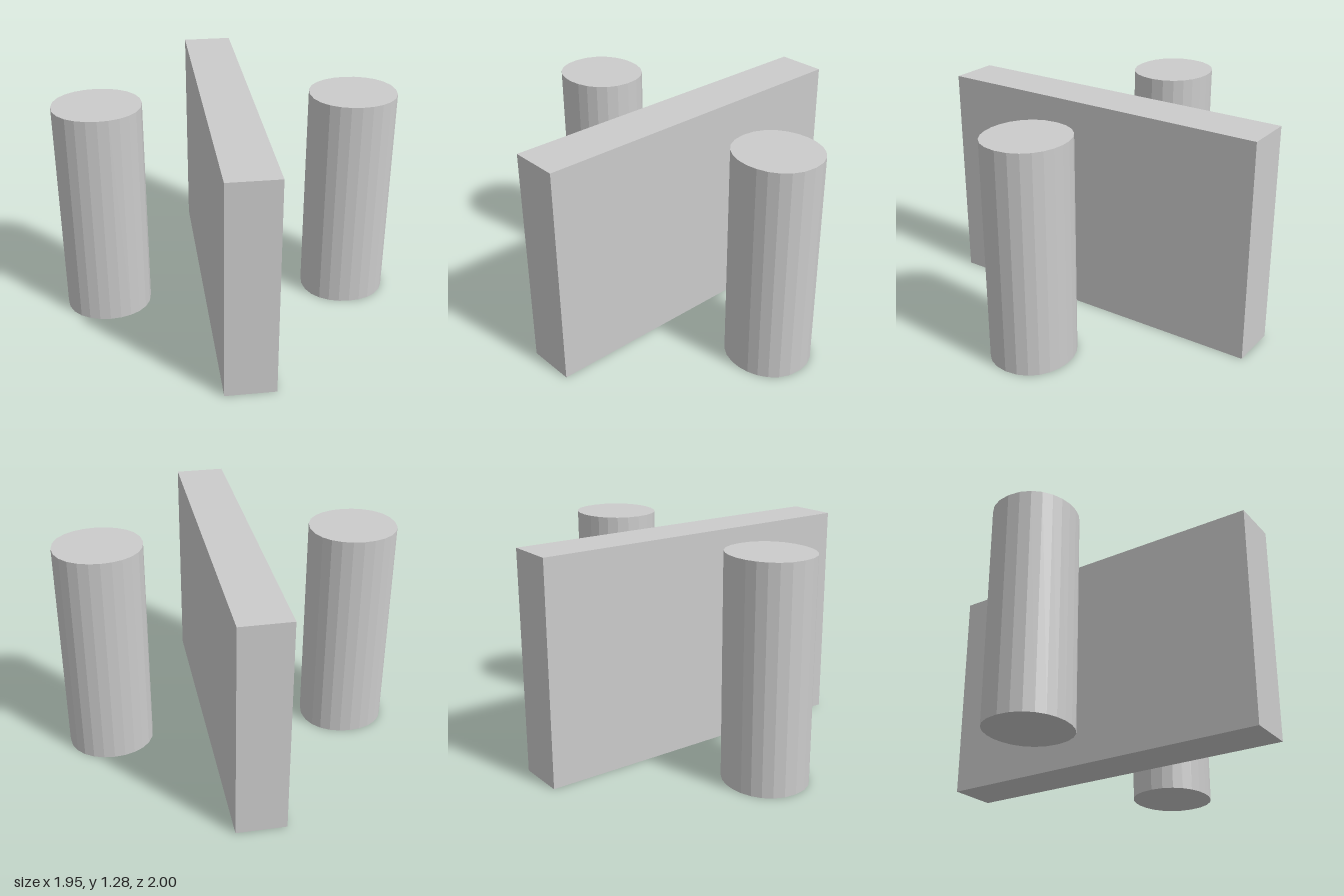
import * as THREE from 'three';

const HEIGHT = 1.28;

// Rounded-oval cross-section made of two mirrored Bezier arcs
function columnShape(halfWidth, halfDepth) {
  const pull = halfDepth / 0.75; // a cubic arc reaches 3/4 of its handle height
  const shape = new THREE.Shape();
  shape.moveTo(halfWidth, 0);
  shape.bezierCurveTo(halfWidth, pull, -halfWidth, pull, -halfWidth, 0);
  shape.bezierCurveTo(-halfWidth, -pull, halfWidth, -pull, halfWidth, 0);
  return shape;
}

export function createModel() {
  const model = new THREE.Group();
  const material = new THREE.MeshStandardMaterial({ color: 0xcccccc, flatShading: true });

  // Central upright slab, running front to back
  const slab = new THREE.Mesh(new THREE.BoxGeometry(0.286, HEIGHT, 2), material);
  slab.name = 'centralSlab';
  slab.position.y = HEIGHT / 2;
  model.add(slab);

  // One oval column on each side of the slab
  const columnGeometry = new THREE.ExtrudeGeometry(columnShape(0.251, 0.231), {
    depth: HEIGHT, bevelEnabled: false, curveSegments: 12,
  });
  columnGeometry.rotateX(-Math.PI / 2);
  for (const [name, side] of [['leftColumn', 1], ['rightColumn', -1]]) {
    const column = new THREE.Mesh(columnGeometry, material);
    column.name = name;
    column.position.x = side * 0.724;
    model.add(column);
  }

  return model;
}
